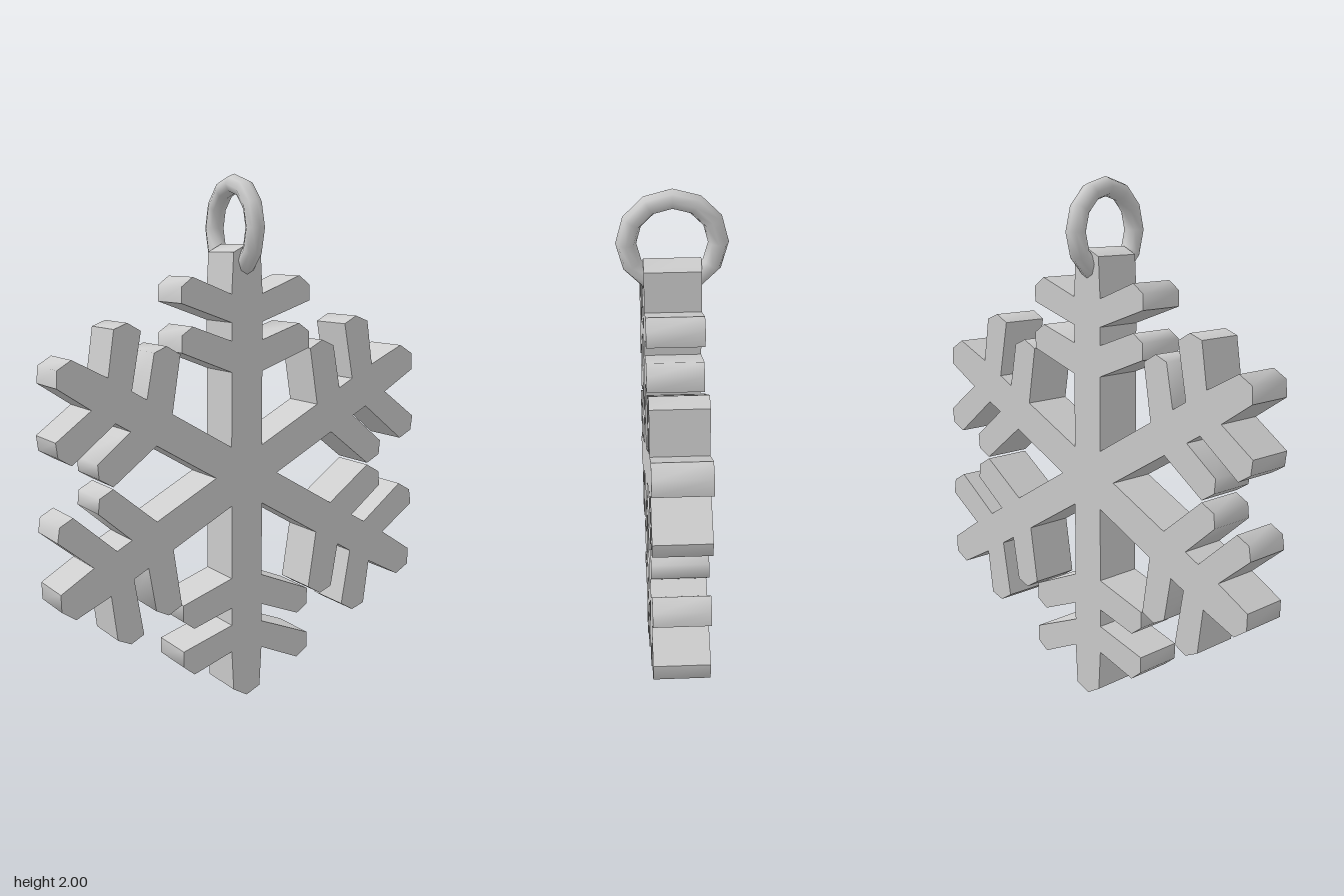
import * as THREE from 'three';
import { toCreasedNormals } from 'three/addons/utils/BufferGeometryUtils.js';

export function createModel() {
  const model = new THREE.Group();
  model.name = 'snowflakePendant';
  const silver = new THREE.MeshStandardMaterial({ color: 0xcccccc });
  silver.name = 'silver grey';

  // Right half of one arm: [offset from arm axis, distance from hub centre]
  const half = [
    [0.065, 0.113],
    [0.065, 0.395], [0.27, 0.475], [0.27, 0.538], [0.225, 0.57], // inner branch
    [0.065, 0.512], [0.065, 0.58],
    [0.27, 0.655], [0.27, 0.715], [0.225, 0.75], // outer branch
    [0.065, 0.685], [0.057, 0.838], // tip shoulder
  ];
  const mirrored = half.slice(1).reverse().map(([x, r]) => [-x, r]);
  const arm = [...half, [0, 0.868], ...mirrored];

  // Six arms, walked counter-clockwise round the hub
  const outline = [];
  for (let i = 0; i < 6; i++) {
    const a = (i * Math.PI) / 3;
    for (const [x, r] of arm) {
      outline.push(new THREE.Vector2(
        x * Math.cos(a) - r * Math.sin(a),
        x * Math.sin(a) + r * Math.cos(a)
      ));
    }
  }
  const plate = new THREE.ExtrudeGeometry(new THREE.Shape(outline), { depth: 0.206, bevelEnabled: false });
  plate.translate(0, 0.873, -0.103);
  const snowflake = new THREE.Mesh(toCreasedNormals(plate, 1.0), silver);
  snowflake.name = 'snowflake';
  model.add(snowflake);

  // Hanging ring, standing across the top arm
  const ring = new THREE.Mesh(new THREE.TorusGeometry(0.163, 0.037, 8, 12), silver);
  ring.name = 'hangingRing';
  ring.rotation.y = Math.PI / 2;
  ring.position.y = 1.8;
  model.add(ring);

  return model;
}
